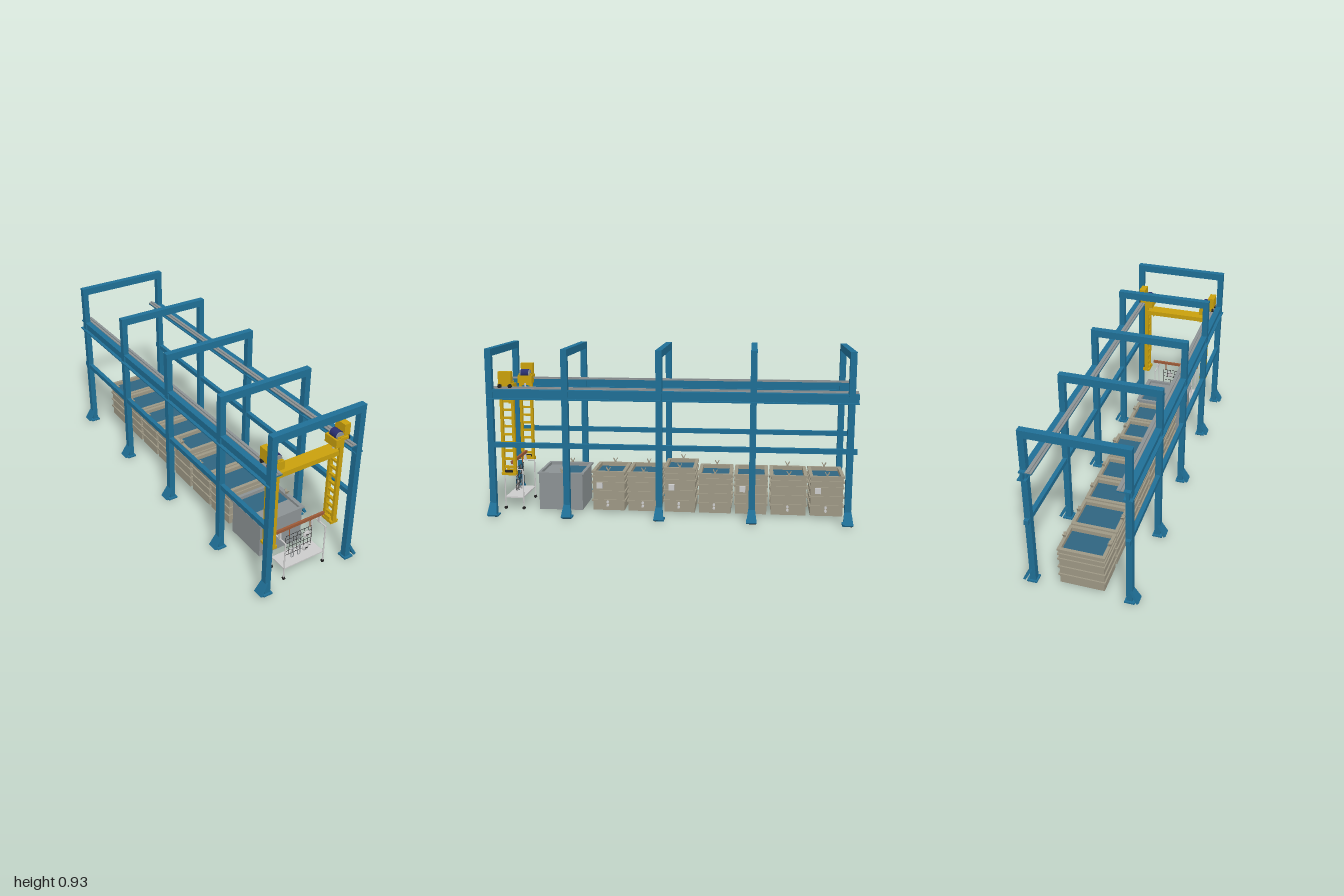
import * as THREE from 'three';

const mat = (color) => new THREE.MeshStandardMaterial({ color, side: THREE.DoubleSide });
const BLUE = mat(0x1f6f96), YELLOW = mat(0xc9a00c), BEIGE = mat(0x9e9885), GREY = mat(0x8c9294),
  WATER = mat(0x2f6480), COPPER = mat(0x9c5a38), LIGHT = mat(0xcccccc), BLACK = mat(0x222222), NAVY = mat(0x2a3070);

function add(parent, name, geometry, material, x = 0, y = 0, z = 0) {
  const m = new THREE.Mesh(geometry, material);
  m.name = name;
  m.position.set(x, y, z);
  parent.add(m);
  return m;
}
// Box given by its limits on each axis
function box(parent, name, material, x0, x1, y0, y1, z0, z1) {
  return add(parent, name, new THREE.BoxGeometry(Math.abs(x1 - x0), y1 - y0, Math.abs(z1 - z0)), material,
    (x0 + x1) / 2, (y0 + y1) / 2, (z0 + z1) / 2);
}
// Round bar between two points
function rod(parent, name, material, a, b, r, sides = 10) {
  const p = new THREE.Vector3(...a), q = new THREE.Vector3(...b), d = q.clone().sub(p);
  const m = add(parent, name, new THREE.CylinderGeometry(r, r, d.length(), sides), material);
  m.position.copy(p.add(q).multiplyScalar(0.5));
  m.quaternion.setFromUnitVectors(new THREE.Vector3(0, 1, 0), d.normalize());
  return m;
}
function group(parent, name) {
  const g = new THREE.Group();
  g.name = name;
  parent.add(g);
  return g;
}
// Horizontal plate with a rectangular opening
function ringPlate(parent, name, material, o, i, y0, y1) {
  const rect = (C, [x0, x1, z0, z1]) => {
    const s = new C();
    s.moveTo(x0, -z0); s.lineTo(x1, -z0); s.lineTo(x1, -z1); s.lineTo(x0, -z1); s.closePath();
    return s;
  };
  const shape = rect(THREE.Shape, o);
  shape.holes.push(rect(THREE.Path, i));
  const g = new THREE.ExtrudeGeometry(shape, { depth: y1 - y0, bevelEnabled: false });
  g.rotateX(-Math.PI / 2);
  return add(parent, name, g, material, 0, y0, 0);
}

// Portal frame with splayed foot plates
function portal(parent, z) {
  const g = group(parent, 'portalFrame');
  g.position.z = z;
  box(g, 'crossBeam', BLUE, -0.272, 0.272, 0.89, 0.93, -0.017, 0.017);
  const foot = new THREE.Shape();
  foot.moveTo(-0.028, 0); foot.lineTo(0.028, 0); foot.lineTo(0.018, 0.077); foot.lineTo(-0.018, 0.077);
  for (const s of [-1, 1]) {
    box(g, 'column', BLUE, s * 0.24, s * 0.272, 0.01, 0.89, -0.017, 0.017);
    box(g, 'basePlate', BLUE, s * 0.232, s * 0.285, 0.003, 0.012, -0.028, 0.028);
    box(g, 'basePad', BLACK, s * 0.238, s * 0.28, 0, 0.004, -0.024, 0.024);
    const geo = new THREE.ExtrudeGeometry(foot, { depth: 0.014, bevelEnabled: false });
    geo.translate(0, 0, -0.007);
    geo.rotateY(Math.PI / 2);
    add(g, 'footBrace', geo, BLUE, s * 0.3, 0.012, 0).rotation.z = s * 0.5;
  }
}

// Runway beams, crane rail and lower tie on one side
function runway(parent, s) {
  const g = group(parent, 'runway');
  box(g, 'runwayWeb', BLUE, s * 0.25, s * 0.264, 0.66, 0.708, -1, 0.985);
  box(g, 'lowerFlange', BLUE, s * 0.235, s * 0.282, 0.657, 0.663, -1, 0.985);
  box(g, 'railShelf', BLUE, s * 0.205, s * 0.272, 0.703, 0.71, -1, 0.985);
  box(g, 'craneRail', GREY, s * 0.205, s * 0.238, 0.71, 0.714, -1, 0.985);
  box(g, 'railHead', GREY, s * 0.216, s * 0.226, 0.714, 0.721, -1, 0.985);
  box(g, 'lowerTie', BLUE, s * 0.245, s * 0.268, 0.391, 0.418, -1, 0.985);
}

// Process tank with ribs, water, bar saddles and valves
function processTank(parent, z0, z1, top, hasBox) {
  const g = group(parent, 'processTank'), w = 0.118, zc = (z0 + z1) / 2;
  const inner = [-0.108, 0.108, z0 + 0.019, z1 - 0.019];
  const e = 0.007;
  box(g, 'tankBody', BEIGE, -w, w, 0.01, top - 0.045, z0 + e, z1 - e);
  ringPlate(g, 'tankWall', BEIGE, [-w, w, z0 + e, z1 - e], inner, top - 0.045, top);
  ringPlate(g, 'tankRim', BEIGE, [-w - e, w + e, z0, z1], inner, top - 0.01, top);
  box(g, 'water', WATER, inner[0], inner[1], top - 0.045, top - 0.022, inner[2], inner[3]);
  for (const f of [0.28, 0.5, 0.72, 0.86]) {
    box(g, 'rib', BEIGE, -w - e, w + e, top * f - 0.005, top * f + 0.005, z0, z1);
  }
  for (const s of [-1, 1]) saddle(g, s * 0.119, top, zc);
  for (const y of [0.04, 0.06]) rod(g, 'valve', LIGHT, [w, y, zc + 0.005], [w + 0.016, y, zc + 0.005], 0.007, 12);
  if (hasBox) box(g, 'controlBox', LIGHT, w, 0.135, 0.138, 0.17, z1 - 0.062, z1 - 0.03);
}
// V-shaped rest for the carrying bar
function saddle(parent, x, y, z) {
  const g = group(parent, 'barSaddle');
  box(g, 'saddlePost', BEIGE, x - 0.007, x + 0.007, y, y + 0.01, z - 0.005, z + 0.005);
  for (const s of [-1, 1]) {
    const arm = box(g, 'saddleArm', BEIGE, x - 0.007, x + 0.007, y + 0.005, y + 0.025, z + s * 0.007 - 0.002, z + s * 0.007 + 0.002);
    arm.rotation.x = s * 0.5;
  }
}

// Wide grey tank near the loading end
function washTank(parent) {
  const g = group(parent, 'washTank'), hole = [-0.124, 0.124, 0.505, 0.735];
  box(g, 'tankBody', GREY, -0.134, 0.134, 0.01, 0.19, 0.497, 0.745);
  ringPlate(g, 'tankWall', GREY, [-0.134, 0.134, 0.497, 0.745], hole, 0.19, 0.218);
  ringPlate(g, 'tankRim', GREY, [-0.146, 0.146, 0.487, 0.75], hole, 0.216, 0.225);
  box(g, 'water', WATER, -0.124, 0.124, 0.19, 0.205, 0.505, 0.64);
  box(g, 'innerDeck', GREY, -0.124, 0.124, 0.19, 0.21, 0.64, 0.735);
  for (const s of [-1, 1]) saddle(g, s * 0.135, 0.225, 0.61);
}

// Travelling hoist with ladder legs
function hoist(parent) {
  const g = group(parent, 'hoist');
  box(g, 'hoistBeam', YELLOW, -0.185, 0.185, 0.64, 0.667, 0.855, 0.93);
  for (const s of [-1, 1]) {
    const leg = group(g, 'ladderLeg');
    for (const z of [0.856, 0.92]) box(leg, 'legRail', YELLOW, s * 0.18, s * 0.203, 0.225, 0.74, z, z + 0.015);
    for (let i = 0; i < 10; i++) {
      const y = 0.26 + i * 0.046;
      box(leg, 'rung', YELLOW, s * 0.184, s * 0.199, y, y + 0.012, 0.865, 0.925);
    }
    box(leg, 'legFoot', YELLOW, s * 0.17, s * 0.214, 0.222, 0.237, 0.855, 0.935);
    box(leg, 'footClamp', YELLOW, s * 0.172, s * 0.18, 0.235, 0.252, 0.875, 0.915);
    box(leg, 'footPad', BLACK, s * 0.203, s * 0.213, 0.237, 0.25, 0.875, 0.915);
    const head = group(g, 'driveHead');
    box(head, 'headBox', YELLOW, s * 0.153, s * 0.202, 0.69, 0.735, 0.85, 0.935);
    box(head, 'carriage', YELLOW, s * 0.2, s * 0.23, 0.723, 0.738, 0.85, 0.935);
    box(head, 'headCap', YELLOW, s * 0.165, s * 0.205, 0.735, 0.746, 0.86, 0.93);
    box(head, 'motorBox', YELLOW, s * 0.205, s * 0.241, 0.74, 0.804, 0.857, 0.928);
    box(head, 'outerArm', YELLOW, s * 0.205, s * 0.235, 0.69, 0.702, 0.87, 0.92);
    rod(head, 'windingDrum', GREY, [s * 0.183, 0.745, 0.865], [s * 0.183, 0.745, 0.925], 0.022, 24);
    rod(head, 'motor', NAVY, [s * 0.183, 0.748, 0.872], [s * 0.183, 0.748, 0.918], 0.0235, 24);
    for (const z of [0.865, 0.922]) rod(head, 'guideWheel', BLACK, [s * 0.228, 0.725, z], [s * 0.24, 0.725, z], 0.011, 16);
    rod(head, 'sideRoller', LIGHT, [s * 0.173, 0.667, 0.895], [s * 0.173, 0.69, 0.895], 0.006);
    box(g, 'stopPin', YELLOW, s * 0.15, s * 0.156, 0.618, 0.642, 0.885, 0.9);
  }
}

// Trolley carrying the copper bar, wire rack and hung parts
function trolley(parent) {
  const g = group(parent, 'trolley'), X = 0.126;
  box(g, 'trolleyShelf', LIGHT, -X, X, 0.068, 0.075, 0.84, 0.945);
  for (const z of [0.84, 0.945]) {
    for (const s of [-1, 1]) {
      rod(g, 'trolleyPost', LIGHT, [s * X, 0.02, z], [s * X, 0.235, z], 0.004);
      rod(g, 'castor', BLACK, [s * (X - 0.006), 0.011, z], [s * (X + 0.004), 0.011, z], 0.009, 14);
    }
  }
  for (const s of [-1, 1]) {
    rod(g, 'sideBar', LIGHT, [s * X, 0.235, 0.84], [s * X, 0.235, 0.945], 0.004);
    box(g, 'barSupport', LIGHT, s * 0.12, s * 0.13, 0.232, 0.272, 0.888, 0.902);
    rod(g, 'hook', COPPER, [s * 0.065, 0.225, 0.895], [s * 0.065, 0.275, 0.895], 0.0025, 8);
  }
  box(g, 'copperBar', COPPER, -0.15, 0.15, 0.272, 0.288, 0.889, 0.901);
  const rack = group(g, 'wireRack');
  for (let i = 0; i < 8; i++) {
    const x = -0.085 + i * 0.0235;
    rod(rack, 'rackWire', BLACK, [x, 0.104, 0.895], [x, 0.228, 0.895], 0.0011, 6);
  }
  for (let i = 0; i < 6; i++) {
    const y = 0.104 + i * 0.0248;
    rod(rack, 'rackWire', BLACK, [-0.085, y, 0.895], [0.08, y, 0.895], 0.0011, 6);
  }
  // Hung workpieces: long loops and round dishes
  for (const y of [0.11, 0.195]) {
    for (const x of [-0.043, -0.001]) {
      const link = add(rack, 'hungLoop', new THREE.TorusGeometry(0.0085, 0.002, 8, 24), GREY, x, y, 0.902);
      const p = link.geometry.attributes.position;
      for (let i = 0; i < p.count; i++) p.setY(i, p.getY(i) + Math.sign(Math.round(p.getY(i) * 1e5)) * 0.02);
      link.geometry.computeVertexNormals();
    }
    const dish = [[0, 0.008], [0.012, 0.007], [0.02, 0.003], [0.022, 0], [0, 0]].map((a) => new THREE.Vector2(...a));
    add(rack, 'hungDish', new THREE.LatheGeometry(dish, 28), LIGHT, 0.042, y - 0.002, 0.9).rotation.x = Math.PI / 2;
    box(rack, 'dishClip', BLACK, 0.034, 0.05, y - 0.004, y, 0.905, 0.91);
  }
}

export function createModel() {
  const model = new THREE.Group();
  model.name = 'platingLine';
  for (const z of [0.971, 0.557, 0.048, -0.453, -0.962]) portal(model, z);
  for (const s of [-1, 1]) runway(model, s);
  // Tanks: front edge, back edge, height, control box
  for (const [z1, z0, top, hasBox] of [
    [0.446, 0.254, 0.235, true], [0.246, 0.056, 0.235, false], [0.04, -0.143, 0.265, true],
    [-0.153, -0.344, 0.235, false], [-0.354, -0.541, 0.235, true], [-0.551, -0.757, 0.235, false],
    [-0.767, -0.957, 0.235, true],
  ]) processTank(model, z0, z1, top, hasBox);
  washTank(model);
  hoist(model);
  trolley(model);
  model.position.z = 0.0;
  return model;
}
